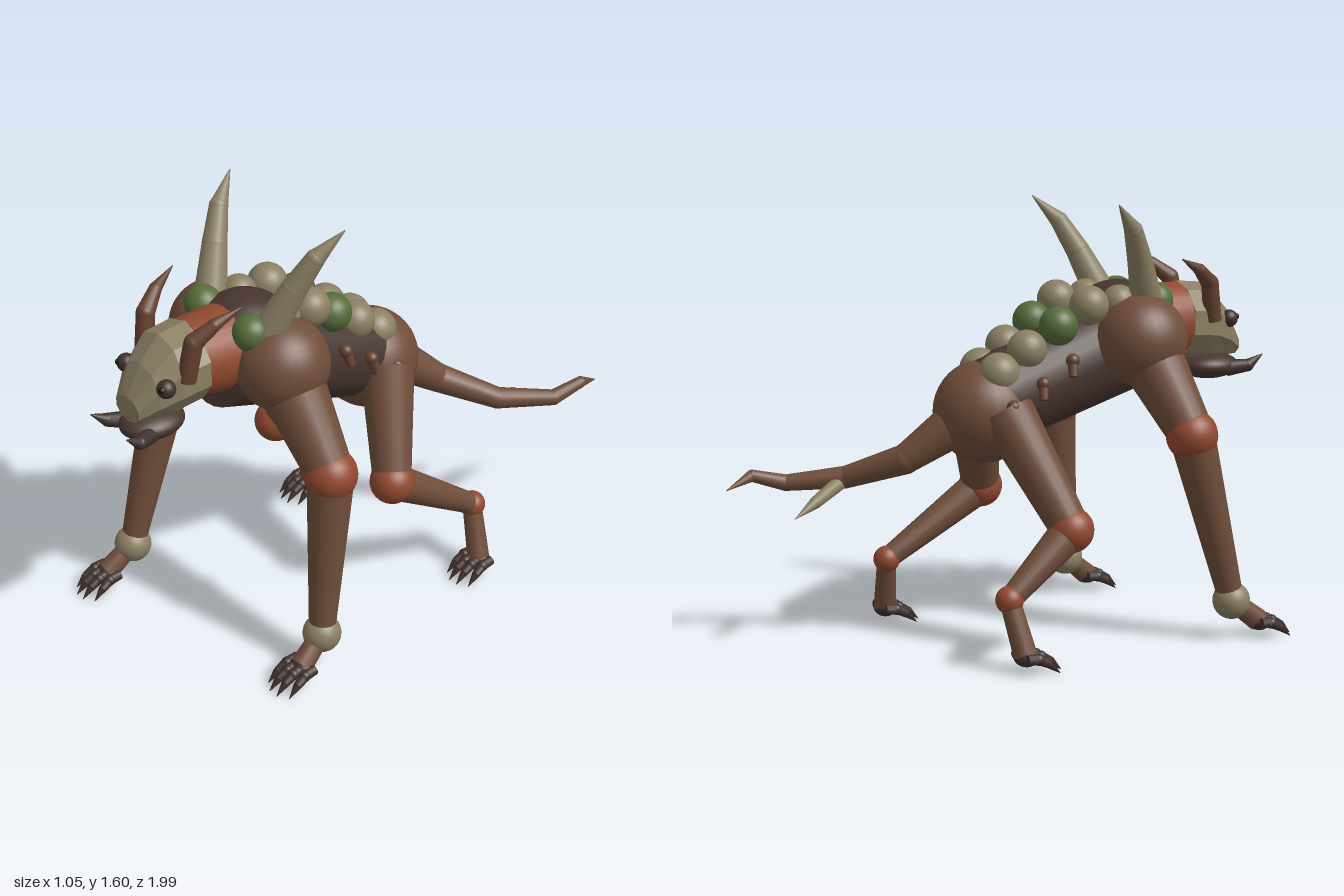
import * as THREE from 'three';

const mat = (name, color) => {
  const m = new THREE.MeshStandardMaterial({ color });
  m.name = name;
  return m;
};
const V = (a) => new THREE.Vector3(...a);
const CX = -0.03; // midline of the body, slightly off centre

export function createModel() {
  const model = new THREE.Group();
  model.name = 'hornedBeast';
  const hide = mat('brown hide', 0x6f4d3a);
  const dark = mat('dark hide', 0x47352f);
  const rust = mat('rust joints', 0x91492f);
  const bone = mat('bone', 0x8a7f63);
  const moss = mat('moss green', 0x566b3b);
  const horn = mat('reddish horn', 0x64402f);
  const claw = mat('claw', 0x3f302c);
  const black = mat('pupil black', 0x1c1716);

  const add = (name, geo, material, parent = model) => {
    const mesh = new THREE.Mesh(geo, material);
    mesh.name = name;
    parent.add(mesh);
    return mesh;
  };
  const ball = (name, p, r, material, parent, scale = [1, 1, 1]) => {
    const m = add(name, new THREE.SphereGeometry(r, 28, 20), material, parent);
    m.position.set(...p);
    m.scale.set(...scale);
    return m;
  };
  // Tapered limb segment from a to b
  const limb = (name, a, b, ra, rb, material, parent, sides = 20) => {
    const from = V(a), to = V(b), dir = to.clone().sub(from);
    const m = add(name, new THREE.CylinderGeometry(rb, ra, dir.length(), sides), material, parent);
    m.position.copy(from).add(to).multiplyScalar(0.5);
    m.quaternion.setFromUnitVectors(new THREE.Vector3(0, 1, 0), dir.normalize());
    return m;
  };
  // Chain of segments with rounded joints, closing to a point
  const chain = (name, pts, radii, material, sides = 16) => {
    const g = new THREE.Group();
    g.name = name;
    model.add(g);
    for (let i = 0; i < pts.length - 1; i++) {
      limb(name + 'Segment', pts[i], pts[i + 1], radii[i], radii[i + 1], material, g, sides);
      if (i) ball(name + 'Joint', pts[i], radii[i], material, g);
    }
  };

  // Torso
  ball('hips', [-0.015, 0.86, -0.14], 0.187, hide);
  ball('chest', [CX, 1.115, 0.41], 0.195, dark);
  limb('torso', [CX, 1.115, 0.52], [-0.02, 0.89, -0.12], 0.188, 0.165, dark, model, 28);
  limb('neck', [CX, 1.13, 0.42], [CX, 1.15, 0.67], 0.16, 0.138, rust, model, 28);

  // Paired armour domes along the back: [half spacing, y, z, radius, colour]
  const domes = [
    [0.135, 1.24, 0.485, 0.067, moss],
    [0.12, 1.24, 0.34, 0.064, bone],
    [0.118, 1.235, 0.215, 0.072, bone],
    [0.098, 1.165, 0.1, 0.071, moss],
    [0.082, 1.085, -0.02, 0.072, bone],
    [0.072, 1.005, -0.127, 0.076, bone],
  ];
  for (const s of [-1, 1]) {
    for (const [x, y, z, r, m] of domes) ball('backDome', [CX + s * x, y, z], r, m);
    // Small nubs on the flanks
    for (let i = 0; i < 3; i++) {
      const z = 0.11 - i * 0.12, y = 1.05 - i * 0.075, x = CX + s * 0.185;
      ball('flankNub', [x, y, z], 0.025, horn);
      limb('flankSpur', [x, y, z], [x + s * 0.02, y - 0.055, z - 0.01], 0.02, 0.016, horn, model, 10);
    }
    // Great shoulder horns and curved head horns
    chain('shoulderHorn',
      [[CX + s * 0.155, 1.22, 0.44], [CX + s * 0.218, 1.4, 0.365], [CX + s * 0.262, 1.51, 0.31], [CX + s * 0.31, 1.605, 0.22]],
      [0.062, 0.045, 0.034, 0.002], bone);
    chain('headHorn',
      [[CX + s * 0.12, 1.15, 0.75], [CX + s * 0.135, 1.29, 0.725], [CX + s * 0.165, 1.345, 0.66], [CX + s * 0.192, 1.39, 0.565]],
      [0.034, 0.033, 0.023, 0.002], horn);
    // Eyes
    ball('eye', [-0.02 + s * 0.114, 1.15, 0.835], 0.033, claw);
    ball('pupil', [-0.02 + s * 0.123, 1.157, 0.858], 0.013, black);
    // Tusks at the corners of the jaw
    chain('tusk',
      [[CX + s * 0.06, 0.955, 0.86], [CX + s * 0.095, 0.965, 0.93], [CX + s * 0.105, 1.005, 0.99]],
      [0.032, 0.024, 0.002], claw, 12);
  }

  // Faceted skull lofted from eight-sided rings: [z, bottom, top, half width]
  const rings = [[0.66, 1.01, 1.285, 0.14], [0.77, 1.0, 1.275, 0.135], [0.85, 1.0, 1.195, 0.105], [0.91, 1.0, 1.09, 0.065]];
  const N = 10, pos = [], idx = [];
  for (const [z, b, t, w] of rings) {
    for (let i = 0; i < N; i++) {
      const a = ((i + 0.5) / N) * Math.PI * 2;
      pos.push(CX + (w / 0.95) * Math.cos(a), (b + t) / 2 + ((t - b) / 1.9) * Math.sin(a), z);
    }
  }
  for (let r = 0; r < rings.length - 1; r++) {
    for (let i = 0; i < N; i++) {
      const a = r * N + i, b = r * N + ((i + 1) % N);
      idx.push(a, b, b + N, a, b + N, a + N);
    }
  }
  const last = (rings.length - 1) * N;
  for (let i = 1; i < N - 1; i++) idx.push(last, last + i, last + i + 1, 0, i + 1, i);
  let skull = new THREE.BufferGeometry();
  skull.setAttribute('position', new THREE.Float32BufferAttribute(pos, 3));
  skull.setIndex(idx);
  skull = skull.toNonIndexed();
  skull.computeVertexNormals();
  add('skull', skull, bone);
  ball('jaw', [CX, 0.963, 0.815], 0.12, dark, model, [0.82, 0.42, 1]);

  // Paw: sole, four toes and claws pointing forward
  const paw = (name, p, ankle) => {
    const g = new THREE.Group();
    g.name = name;
    model.add(g);
    const [x, z] = p;
    limb('sole', ankle, [x, 0.07, z], 0.036, 0.042, hide, g, 14);
    ball('pad', [x, 0.065, z], 0.04, claw, g, [1.3, 0.8, 1]);
    for (let i = 0; i < 4; i++) {
      const k = i - 1.5, tx = x + k * 0.033, ext = Math.abs(k) < 1 ? 0.025 : 0;
      const knuckle = [tx, 0.066, z + 0.025 + ext], tip = [tx + k * 0.004, 0.045, z + 0.065 + ext];
      limb('toe', [tx, 0.07, z - 0.02], knuckle, 0.018, 0.02, claw, g, 10);
      ball('knuckle', knuckle, 0.021, claw, g);
      limb('toeEnd', knuckle, tip, 0.019, 0.015, claw, g, 10);
      limb('claw', tip, [tx + k * 0.006, 0.01, z + 0.105 + ext], 0.015, 0.001, claw, g, 10);
    }
  };

  // Forelegs, in mid stride
  const fore = [
    { n: 'left', sh: [0.148, 1.105, 0.39], el: [0.405, 0.78, 0.39], wr: [0.437, 0.155, 0.46], foot: [0.45, 0.565] },
    { n: 'right', sh: [-0.21, 1.105, 0.4], el: [-0.42, 0.78, 0.485], wr: [-0.44, 0.155, 0.655], foot: [-0.455, 0.765] },
  ];
  for (const { n, sh, el, wr, foot } of fore) {
    ball(n + 'Shoulder', sh, 0.168, hide);
    limb(n + 'UpperArm', sh, el, 0.125, 0.082, hide);
    ball(n + 'Elbow', el, 0.094, rust);
    limb(n + 'Forearm', el, wr, 0.083, 0.046, hide);
    ball(n + 'Wrist', wr, 0.069, bone);
    paw(n + 'ForePaw', foot, wr);
  }

  // Hind legs
  const hind = [
    { n: 'left', hip: [0.115, 0.89, -0.12], kn: [0.285, 0.52, 0], an: [0.315, 0.27, -0.38], foot: [0.38, -0.36] },
    { n: 'right', hip: [-0.145, 0.87, -0.12], kn: [-0.37, 0.475, 0.015], an: [-0.395, 0.26, -0.245], foot: [-0.455, -0.215] },
  ];
  for (const { n, hip, kn, an, foot } of hind) {
    limb(n + 'Thigh', hip, kn, 0.1, 0.07, hide);
    ball(n + 'Knee', kn, 0.082, rust);
    limb(n + 'Shin', kn, an, 0.068, 0.04, hide);
    ball(n + 'Ankle', an, 0.05, rust);
    paw(n + 'HindPaw', foot, an);
  }

  // Swept tail with a side spike
  chain('tail',
    [[-0.01, 0.83, -0.24], [0.065, 0.695, -0.42], [0.225, 0.617, -0.58], [0.335, 0.595, -0.77], [0.36, 0.628, -0.89], [0.335, 0.587, -1]],
    [0.085, 0.055, 0.041, 0.03, 0.022, 0.001], hide);
  chain('tailSpike',
    [[0.235, 0.605, -0.59], [0.16, 0.55, -0.73], [0.125, 0.505, -0.825]],
    [0.028, 0.022, 0.001], bone);

  return model;
}
